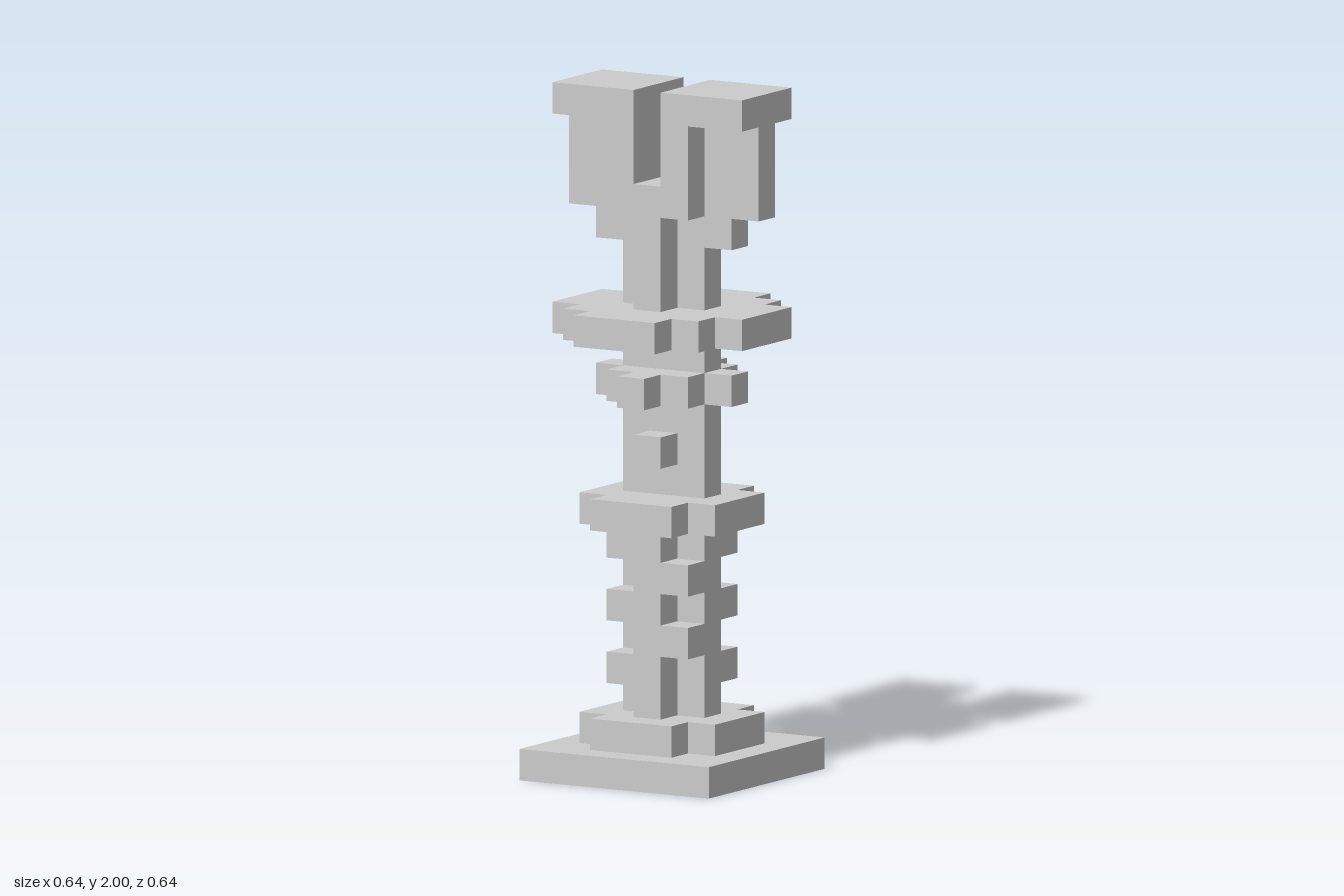
import * as THREE from 'three';

const U = 1 / 11; // one block; the model is 22 blocks tall
const material = new THREE.MeshStandardMaterial({ color: 0xcccccc, flatShading: true });

export function createModel() {
  const group = new THREE.Group();

  const add = (name, geometry) => {
    geometry.scale(U, U, U);
    const mesh = new THREE.Mesh(geometry, material);
    mesh.name = name;
    group.add(mesh);
  };

  // Box given by its centre in x and z, its bottom and its size, in blocks
  const box = (name, x, y, z, w, h, d) =>
    add(name, new THREE.BoxGeometry(w, h, d).translate(x, y + h / 2, z));

  const extrude = (points, depth) => new THREE.ExtrudeGeometry(
    new THREE.Shape(points.map(([x, y]) => new THREE.Vector2(x, y))),
    { depth, bevelEnabled: false });

  // Horizontal slab: one quadrant of its outline is mirrored to all four
  const slab = (name, quadrant, y, h) => {
    const back = [...quadrant].reverse();
    const outline = [
      ...quadrant,
      ...back.map(([a, b]) => [-a, b]),
      ...quadrant.map(([a, b]) => [-a, -b]),
      ...back.map(([a, b]) => [a, -b]),
    ];
    add(name, extrude(outline, h).rotateX(-Math.PI / 2).translate(0, y, 0));
  };

  // Upright plate, one block thick: the right half of its outline is mirrored
  const plate = (name, half, z) => {
    const outline = [...half, ...[...half].reverse().map(([x, y]) => [-x, y])];
    add(name, extrude(outline, 1).translate(0, 0, z - 0.5));
  };

  const cross = [[1.5, 0.5], [0.5, 0.5], [0.5, 1.5]];
  const collar = [[2.5, 1.5], [1.5, 1.5], [1.5, 2.5]];
  const diamond = [[2.5, 0.5], [1.5, 0.5], [1.5, 1.5], [0.5, 1.5], [0.5, 2.5]];
  const disc = [[3.5, 1.5], [2.5, 1.5], [2.5, 2.5], [1.5, 2.5], [1.5, 3.5]];

  // Foot and lower shaft
  box('base', 0, 0, 0, 7, 1, 7);
  slab('footCollar', collar, 1, 1);
  slab('lowerShaft', cross, 2, 6);

  // Corner blocks climb the shaft, alternating between the two diagonals
  for (const y of [3, 4, 5, 6, 7]) {
    const side = y % 2 ? -1 : 1;
    for (const x of [-1, 1]) box('cornerBlock', x, y, x * side, 1, 1, 1);
  }

  // Flat upper shaft with its knobs and rings
  slab('middleCollar', collar, 8, 1);
  box('upperShaft', 0, 9, 0, 3, 5, 1);
  for (const z of [-1, 1]) box('knob', 0, 10, z, 1, 1, 1);
  slab('diamondRing', diamond, 12, 1);
  slab('upperDisc', disc, 14, 1);

  // Forked crown: a stepped core between two slimmer outer plates
  plate('crownCore', [[1.5, 15], [1.5, 17], [2.5, 17], [2.5, 18], [3.5, 18],
    [3.5, 22], [0.5, 22], [0.5, 19]], 0);
  for (const z of [-1, 1]) {
    plate('crownPlate', [[0.5, 15], [0.5, 18], [1.5, 18], [1.5, 21], [3.5, 21],
      [3.5, 22], [0.5, 22], [0.5, 19]], z);
  }

  return group;
}
